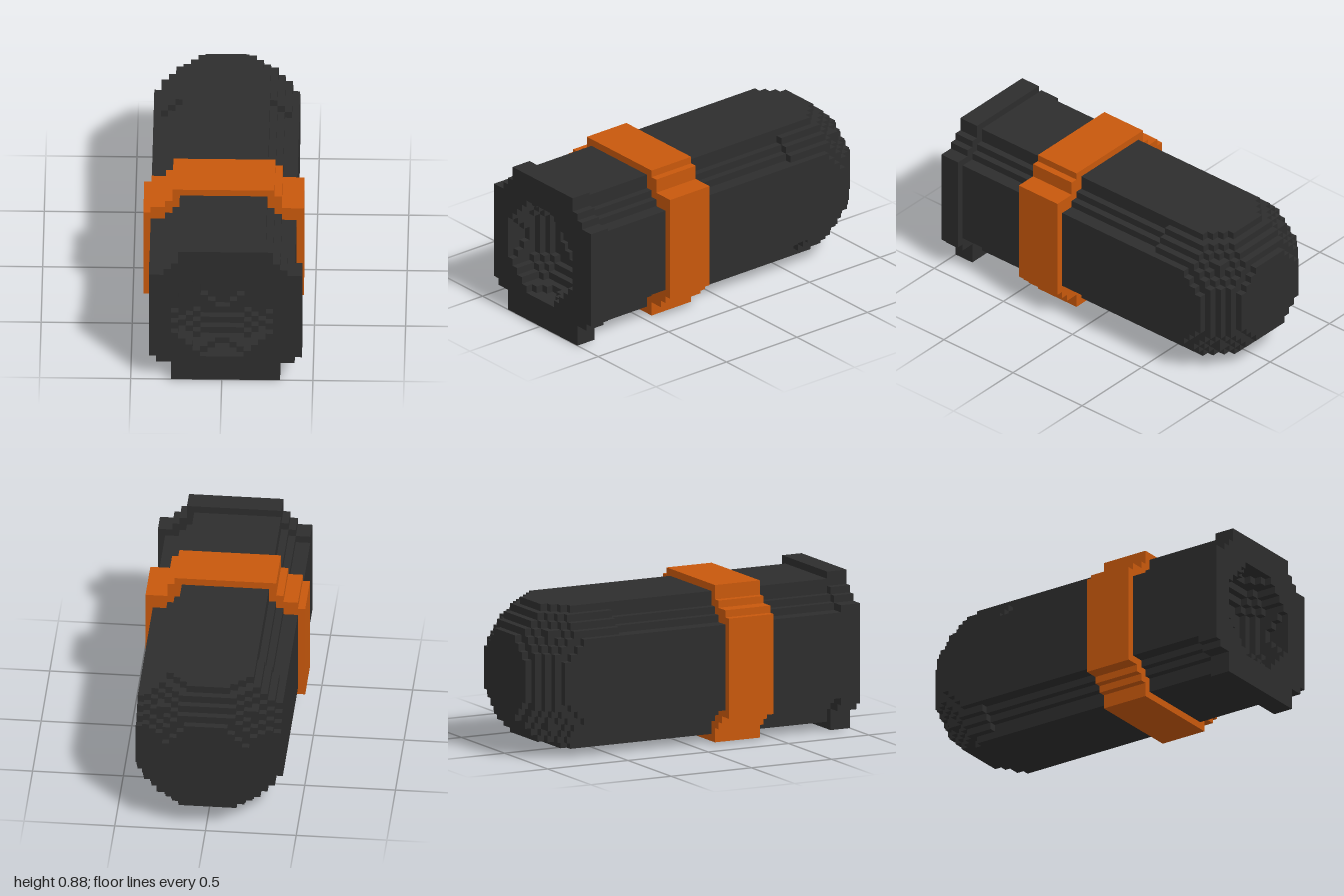
import * as THREE from 'three';

const U = 0.04;    // step size of the blocky surface
const CY = 0.44;   // height of the long axis

// Rows are [yBottom, yTop, xMin, xMax] stacked upwards; they trace a stepped outline.
function trace(path, rows) {
  const merged = [];
  for (const r of rows) {
    const last = merged[merged.length - 1];
    if (last && last[2] === r[2] && last[3] === r[3]) last[1] = r[1];
    else merged.push([...r]);
  }
  const pts = [];
  for (const [a, b, , x] of merged) pts.push([x, a], [x, b]);
  for (const [a, b, x] of merged.reverse()) pts.push([x, b], [x, a]);
  path.setFromPoints(pts.map(([x, y]) => new THREE.Vector2(x, y)));
  return path;
}

// Symmetric rows from a rule giving the half width at each height.
function rowsFrom(halfWidth) {
  const rows = [];
  for (let i = -10; i < 10; i++) {
    const w = halfWidth((i + 0.5) * U);
    if (w > 0) rows.push([CY + i * U, CY + (i + 1) * U, -w, w]);
  }
  return rows;
}

// Half width, in whole steps, of a ball with squared radius r2.
function ball(r2, dz, y) {
  const s = r2 - dz * dz - y * y;
  return s > 0 ? Math.floor(Math.sqrt(s) / U + 0.5) * U : 0;
}

function bodyWidth(y) {
  const h = Math.abs(y);
  return h < 0.24 ? 0.4 : h < 0.28 ? 0.32 : h < 0.32 ? 0.28 : 0.24;
}

export function createModel() {
  const model = new THREE.Group();
  const charcoal = new THREE.MeshStandardMaterial({ color: 0x2d2d2d });
  const orange = new THREE.MeshStandardMaterial({ color: 0xc8580c });

  function slab(parent, name, rows, z0, z1, material, holeRows) {
    const shape = trace(new THREE.Shape(), rows);
    if (holeRows) shape.holes.push(trace(new THREE.Path(), holeRows));
    const geo = new THREE.ExtrudeGeometry(shape, { depth: z1 - z0, bevelEnabled: false });
    geo.translate(0, 0, z0);
    const mesh = new THREE.Mesh(geo, material);
    mesh.name = name;
    parent.add(mesh);
  }
  function group(name) {
    const g = new THREE.Group();
    g.name = name;
    model.add(g);
    return g;
  }

  // Front flange and the body just behind it, hollowed by a stepped round dish
  const flange = group('frontFlange');
  const body = group('body');
  const flangeRows = [
    [0, 0.12, -0.28, 0.32], [0.12, 0.16, -0.36, 0.4], [0.16, 0.72, -0.4, 0.44],
    [0.72, 0.76, -0.32, 0.36], [0.76, 0.8, -0.28, 0.32], [0.8, 0.88, -0.24, 0.28],
  ];
  const bodyRows = rowsFrom(bodyWidth);
  for (let k = 0; k < 7; k++) {
    const dish = rowsFrom((y) => ball(0.0795, (k + 0.5) * U, y));
    const z1 = 1 - k * U;
    if (k < 3) slab(flange, 'flangeLayer', flangeRows, z1 - U, z1, charcoal, dish);
    else slab(body, 'hollowBodyLayer', bodyRows, z1 - U, z1, charcoal, dish);
  }

  // Solid main body
  slab(body, 'mainBody', bodyRows, -0.48, 0.72, charcoal);

  // Rounded rear end in layers
  const rear = group('roundedRear');
  for (let k = 0; k < 13; k++) {
    const z1 = -0.48 - k * U, zc = z1 - U / 2;
    const rows = rowsFrom((y) => {
      const round = Math.min(0.4, ball(0.205, zc + 0.6, y));
      if (k < 3) return y < 0 ? bodyWidth(y) : Math.max(bodyWidth(y), round);
      return zc < -0.76 && y < -0.36 ? 0 : round;
    });
    slab(rear, 'rearLayer', rows, z1 - U, z1, charcoal);
  }

  // Orange band around the body
  slab(model, 'band', [
    [0, 0.08, -0.28, 0.28], [0.08, 0.12, -0.32, 0.36], [0.12, 0.16, -0.36, 0.4],
    [0.16, 0.72, -0.44, 0.44], [0.72, 0.76, -0.4, 0.44], [0.76, 0.8, -0.32, 0.32],
    [0.8, 0.84, -0.28, 0.32], [0.84, 0.88, -0.28, 0.28],
  ], 0.16, 0.44, orange);

  return model;
}
